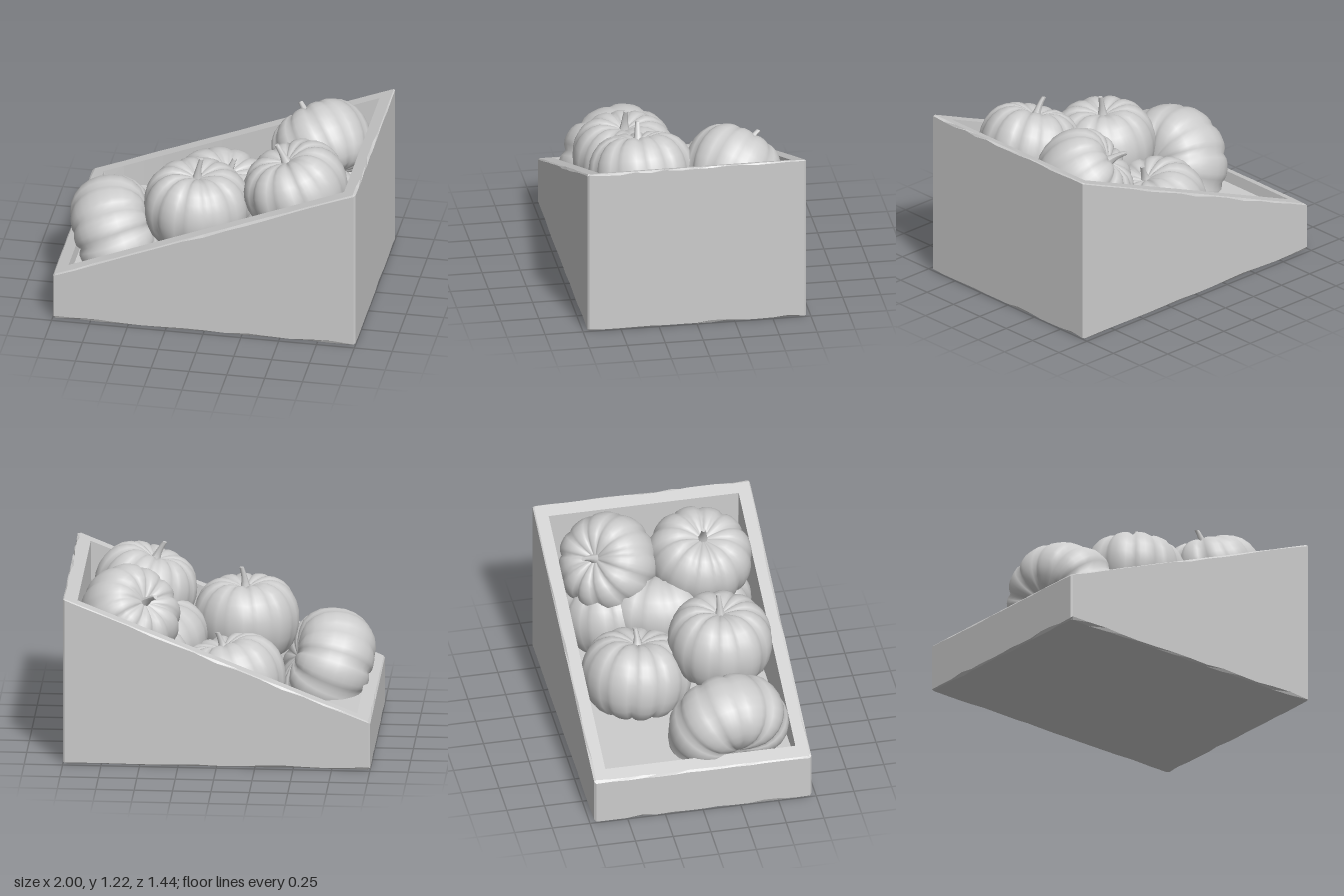
import * as THREE from 'three';
import { mergeVertices } from 'three/addons/utils/BufferGeometryUtils.js';

const grey = new THREE.MeshStandardMaterial({ color: 0xcccccc });
grey.name = 'plain grey';

let seed = 7;
const rand = () => (seed = (seed * 16807) % 2147483647) / 2147483647;

// Height of the sloping rim at a given x
const slope = (x) => 0.335 + (x + 1) * 0.402;

// Rectangular loop of points, starting at the front left and running past the right side
const PER_SIDE = 14;
function loop(inset, corner, rough, height) {
  const hx = 1 - inset, hz = 0.72 - inset;
  const corners = [[-hx, hz], [hx, hz], [hx, -hz], [-hx, -hz]];
  const pts = [];
  corners.forEach(([x0, z0], s) => {
    const [x1, z1] = corners[(s + 1) % 4];
    const len = Math.hypot(x1 - x0, z1 - z0);
    for (let i = 0; i <= PER_SIDE; i++) {
      const t = (corner + (i / PER_SIDE) * (len - 2 * corner)) / len;
      const chip = rough * rand() ** 3;
      let x = x0 + (x1 - x0) * t, z = z0 + (z1 - z0) * t;
      if (s % 2) x -= Math.sign(x) * chip;
      else z -= Math.sign(z) * chip;
      pts.push([x, height(x), z]);
    }
  });
  return pts;
}

// Wedge-shaped crate with worn edges, skinned over loops from the underside to the inner floor
function crate() {
  const floorY = 0.3, baseY = 0.015;
  const underside = loop(0.008, 0.012, 0.015, () => baseY);
  const floor = loop(0.1, 0.001, 0, () => floorY);
  const loops = [
    underside.map(() => [0, baseY, 0]),
    underside,
    loop(0, 0.012, 0, () => 0.022 + 0.015 * rand() ** 3),
    loop(0, 0.012, 0, (x) => slope(x) - 0.006 - 0.015 * rand() ** 3),
    loop(0.008, 0.012, 0.012, slope),
    loop(0.09, 0.001, 0, slope),
    floor,
    floor.map(() => [0, floorY, 0]),
  ];
  const n = underside.length, index = [];
  for (let r = 0; r < loops.length - 1; r++) {
    for (let i = 0; i < n; i++) {
      const j = (i + 1) % n, a = r * n, b = a + n;
      if (r > 0) index.push(a + i, a + j, b + j);
      if (r < loops.length - 2) index.push(a + i, b + j, b + i);
    }
  }
  const indexed = new THREE.BufferGeometry();
  indexed.setAttribute('position', new THREE.Float32BufferAttribute(loops.flat(2), 3));
  indexed.setIndex(index);
  const geo = indexed.toNonIndexed();
  geo.computeVertexNormals();
  const mesh = new THREE.Mesh(geo, grey);
  mesh.name = 'crate';
  return mesh;
}

// Half outline of a pumpkin with dimpled poles
const outline = new THREE.SplineCurve([
  [0, -0.78], [0.25, -0.92], [0.6, -0.93], [0.88, -0.6], [1, -0.05],
  [0.95, 0.45], [0.76, 0.82], [0.48, 0.98], [0.2, 0.9], [0, 0.76],
].map(([x, y]) => new THREE.Vector2(x, y))).getPoints(18);
outline[0].x = outline[18].x = 0;

// Ribbed pumpkin body with uneven lobes
function bodyGeometry(radius, half, ribs) {
  let geo = new THREE.LatheGeometry(outline, ribs * 6);
  geo.deleteAttribute('normal');
  geo.deleteAttribute('uv');
  geo = mergeVertices(geo, 1e-4);
  const lobes = Array.from({ length: ribs }, () => 0.95 + 0.06 * rand());
  const grooves = lobes.map(() => 0.05 + 0.04 * rand());
  const p = geo.attributes.position;
  for (let i = 0; i < p.count; i++) {
    const x = p.getX(i), z = p.getZ(i), r = Math.hypot(x, z);
    const turn = ((Math.atan2(x, z) / (2 * Math.PI) + 1) % 1) * ribs;
    const bulge = Math.abs(Math.sin(turn * Math.PI));
    const groove = (1 - bulge) ** 1.6 * grooves[Math.round(turn) % ribs];
    const lobe = 1 + (lobes[Math.floor(turn + 1e-4) % ribs] - 1) * bulge;
    const k = radius * lobe * (1 - groove);
    p.setXYZ(i, x * k, p.getY(i) * half * (1 - groove * Math.min(1, r * 3)), z * k);
  }
  geo.computeVertexNormals();
  return geo;
}

// Tapered, bent stem with a flared foot
function stemGeometry(length) {
  const geo = new THREE.CylinderGeometry(0.015, 0.024, length, 7, 5);
  geo.translate(0, length / 2, 0);
  const p = geo.attributes.position;
  for (let i = 0; i < p.count; i++) {
    const t = p.getY(i) / length;
    const k = 1 + 0.8 * (1 - t) ** 3;
    p.setX(i, p.getX(i) * k + 0.025 * t * t);
    p.setZ(i, p.getZ(i) * k);
  }
  geo.computeVertexNormals();
  return geo;
}

function pumpkin({ at, axis, radius, half, ribs = 11, spin = 0, stem = 0.15 }) {
  const group = new THREE.Group();
  group.name = 'pumpkin';
  const body = new THREE.Mesh(bodyGeometry(radius, half, ribs), grey);
  body.name = 'pumpkinBody';
  body.rotation.y = spin;
  group.add(body);
  if (stem) {
    const stalk = new THREE.Mesh(stemGeometry(stem), grey);
    stalk.name = 'pumpkinStem';
    stalk.position.y = half * 0.72;
    stalk.rotation.y = spin;
    group.add(stalk);
  }
  group.position.set(...at);
  group.quaternion.setFromUnitVectors(new THREE.Vector3(0, 1, 0), new THREE.Vector3(...axis).normalize());
  return group;
}

export function createModel() {
  const model = new THREE.Group();
  model.name = 'pumpkinCrate';
  model.add(crate());
  const pile = [
    // Upper layer
    { at: [-0.655, 0.41, 0.23], axis: [-0.9, -0.36, 0.16], radius: 0.405, half: 0.26, stem: 0 },
    { at: [-0.125, 0.705, 0.29], axis: [0.02, 1, 0.02], radius: 0.35, half: 0.265, spin: 0.4, stem: 0.16 },
    { at: [-0.06, 0.47, -0.25], axis: [0.24, 1, 0.1], radius: 0.37, half: 0.26, spin: 1, stem: 0.13 },
    { at: [0.53, 0.91, 0.29], axis: [-0.32, 0.94, 0.05], radius: 0.345, half: 0.25, spin: 2.6 },
    { at: [0.595, 0.905, -0.3], axis: [-0.48, 0.56, -0.5], radius: 0.335, half: 0.25, spin: 2 },
    // Lower layer
    { at: [0.53, 0.57, -0.31], axis: [0.1, 1, -0.1], radius: 0.335, half: 0.25, stem: 0 },
    { at: [0.5, 0.64, 0.02], axis: [0.12, 1, 0], radius: 0.41, half: 0.24, spin: 0.7, stem: 0 },
    { at: [0.52, 0.56, 0.27], axis: [-0.1, 1, 0.1], radius: 0.36, half: 0.26, spin: 0.3, stem: 0 },
  ];
  pile.forEach((spec) => model.add(pumpkin(spec)));
  return model;
}
